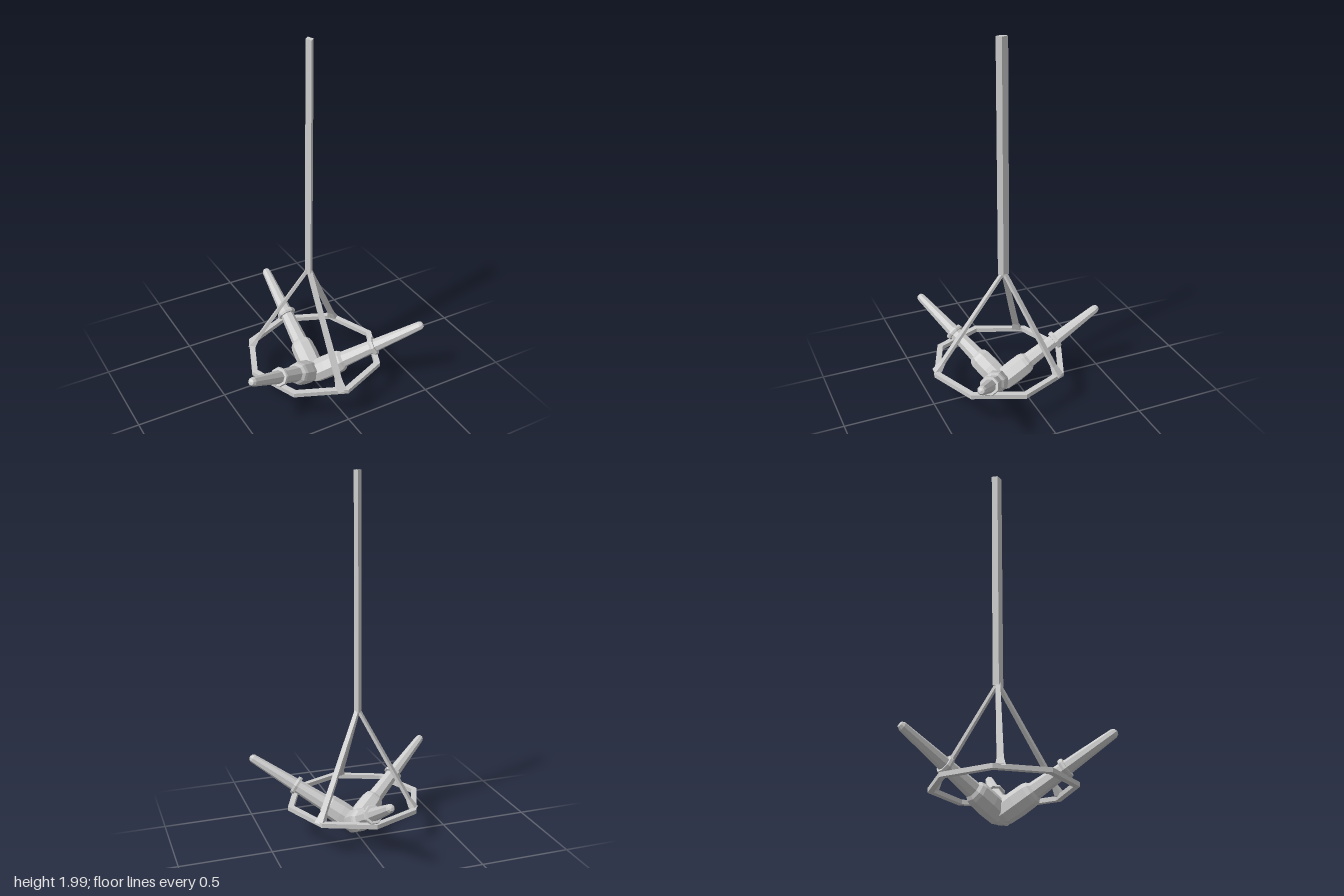
import * as THREE from 'three';

const material = new THREE.MeshStandardMaterial({ color: 0xcccccc, flatShading: true });
const CENTRE_Z = 0.113;

function addMesh(parent, name, geometry) {
  const mesh = new THREE.Mesh(geometry, material);
  mesh.name = name;
  parent.add(mesh);
  return mesh;
}

function lathe(points) {
  return new THREE.LatheGeometry(points.map(([r, y]) => new THREE.Vector2(r, y)), 8);
}

// Flat hanging strut: a box bent through foot, knee and top sections
function strutGeometry(foot, top) {
  const geometry = new THREE.BoxGeometry(1, 1, 1, 1, 2, 1);
  const out = new THREE.Vector3(foot.x - top.x, 0, foot.z - top.z).normalize();
  const side = new THREE.Vector3(out.z, 0, -out.x);
  const knee = foot.clone().lerp(top, 0.09);
  const sections = [
    { centre: foot, width: 0.05, depth: 0.04 },
    { centre: knee, width: 0.034, depth: 0.02 },
    { centre: top, width: 0.025, depth: 0.018 },
  ];
  const position = geometry.attributes.position;
  const v = new THREE.Vector3();
  for (let i = 0; i < position.count; i++) {
    v.fromBufferAttribute(position, i);
    const s = sections[Math.round((v.y + 0.5) * 2)];
    const p = s.centre.clone()
      .addScaledVector(side, v.x * s.width)
      .addScaledVector(out, v.z * s.depth);
    position.setXYZ(i, p.x, p.y, p.z);
  }
  geometry.computeVertexNormals();
  return geometry;
}

export function createModel() {
  const model = new THREE.Group();
  model.name = 'hangingTorchLamp';

  // Octagonal ring
  const ring = addMesh(model, 'ring', lathe([
    [0.346, 0.183], [0.379, 0.183], [0.379, 0.207], [0.346, 0.207], [0.346, 0.183],
  ]));
  ring.position.z = CENTRE_Z;

  // Long pole with a slanted four-sided section
  const section = new THREE.Shape([
    new THREE.Vector2(-0.005, -0.048), new THREE.Vector2(-0.03, -0.07),
    new THREE.Vector2(-0.018, -0.108), new THREE.Vector2(0.006, -0.085),
  ]);
  const pole = addMesh(model, 'pole',
    new THREE.ExtrudeGeometry(section, { depth: 1.28, bevelEnabled: false }));
  pole.rotation.x = -Math.PI / 2;
  pole.position.y = 0.72;

  // Three struts from the ring to the pole
  const top = new THREE.Vector3(-0.012, 0.735, 0.077);
  [[-0.03, 0.465], [0.265, -0.122], [-0.268, -0.108]].forEach(([x, z]) => {
    addMesh(model, 'strut', strutGeometry(new THREE.Vector3(x, 0.2, z), top));
  });

  // Three torches, fanned out and tilted upward
  const torchProfile = [
    [0, -0.035], [0.036, -0.035], [0.062, 0.015], [0.066, 0.09], [0.064, 0.165],
    [0.058, 0.185], [0.045, 0.2], [0.037, 0.385], [0.024, 0.672], [0.016, 0.688], [0, 0.693],
  ];
  const collarProfile = [
    [0.03, 0.372], [0.05, 0.372], [0.054, 0.384], [0.05, 0.397], [0.03, 0.397], [0.03, 0.372],
  ];
  for (const angle of [60, 180, 300]) {
    const arm = new THREE.Group();
    arm.name = 'torch';
    arm.position.set(0, 0.057, CENTRE_Z - 0.004);
    arm.rotation.y = THREE.MathUtils.degToRad(angle);
    const tilt = new THREE.Group();
    tilt.name = 'torchTilt';
    tilt.position.x = -0.009;
    tilt.rotation.x = Math.PI / 3;
    addMesh(tilt, 'torchBody', lathe(torchProfile)).rotation.y = Math.PI / 8;
    addMesh(tilt, 'torchCollar', lathe(collarProfile)).rotation.y = Math.PI / 8;
    arm.add(tilt);
    model.add(arm);
  }

  return model;
}
